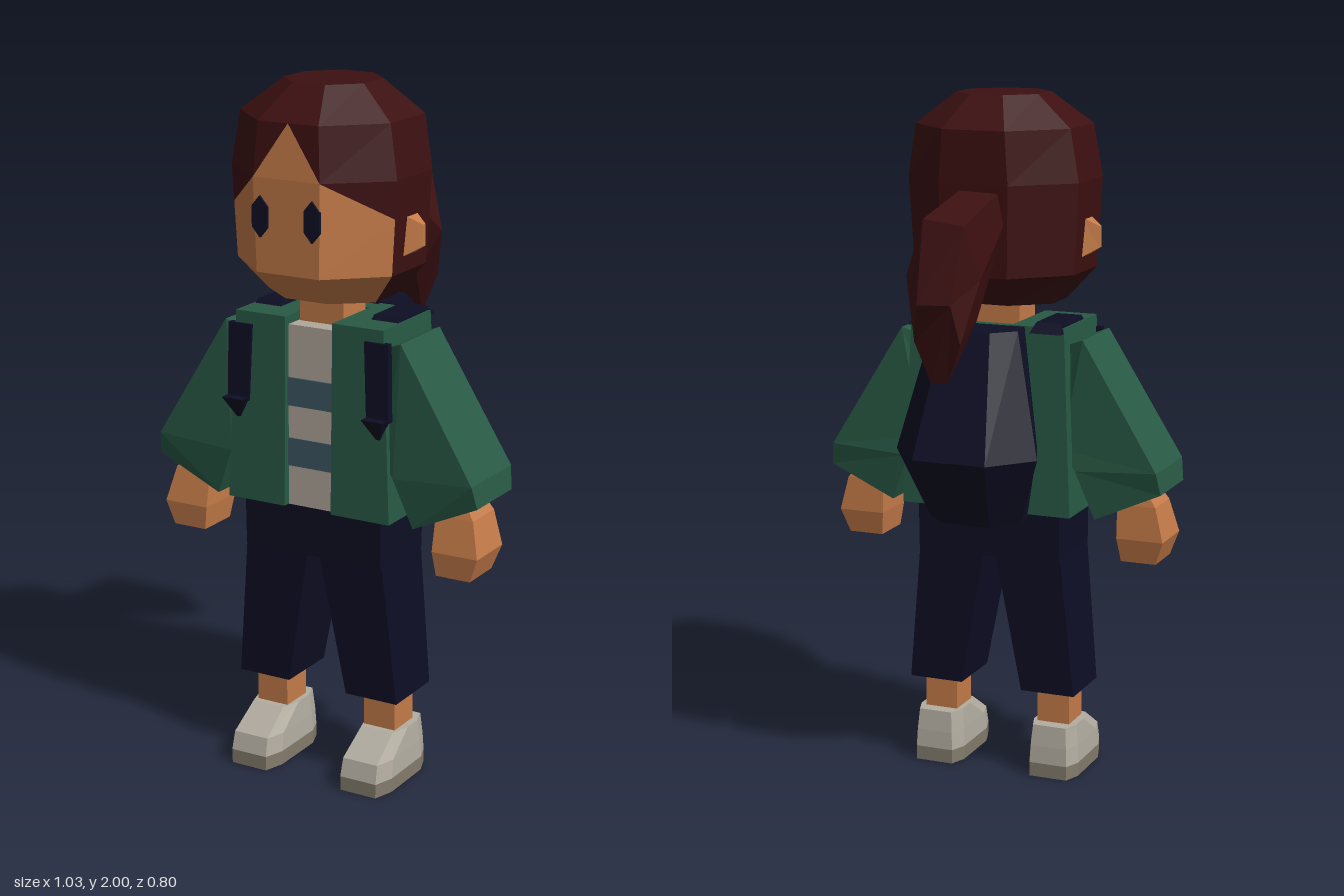
import * as THREE from 'three';

const mat = (name, color) => {
  const m = new THREE.MeshStandardMaterial({ color, flatShading: true });
  m.name = name;
  return m;
};

// Flat-shaded polygons, each turned to face away from a centre point
function facets(name, material, polys, centre) {
  const c = new THREE.Vector3();
  if (centre) c.set(...centre);
  else {
    const all = polys.flat();
    all.forEach(p => c.add(new THREE.Vector3(...p)));
    c.divideScalar(all.length);
  }
  const pos = [];
  for (const poly of polys) {
    const v = poly.map(p => new THREE.Vector3(...p));
    for (let i = 1; i < v.length - 1; i++) {
      const a = v[0], b = v[i], d = v[i + 1];
      const n = b.clone().sub(a).cross(d.clone().sub(a));
      const tri = n.dot(a.clone().sub(c)) >= 0 ? [a, b, d] : [a, d, b];
      tri.forEach(p => pos.push(p.x, p.y, p.z));
    }
  }
  const g = new THREE.BufferGeometry();
  g.setAttribute('position', new THREE.Float32BufferAttribute(pos, 3));
  g.computeVertexNormals();
  const mesh = new THREE.Mesh(g, material);
  mesh.name = name;
  return mesh;
}

// Closed solid through cross-sections with equal point counts
function loft(name, material, rings) {
  const polys = [rings[0], rings[rings.length - 1]];
  for (let r = 0; r < rings.length - 1; r++) {
    const a = rings[r], b = rings[r + 1], n = a.length;
    for (let i = 0; i < n; i++) polys.push([a[i], a[(i + 1) % n], b[(i + 1) % n], b[i]]);
  }
  return facets(name, material, polys);
}

// Horizontal rectangle
const rect = (y, x0, x1, z0, z1) => [[x0, y, z0], [x1, y, z0], [x1, y, z1], [x0, y, z1]];
const flip = (rings, s) => rings.map(r => r.map(([x, y, z]) => [x * s, y, z]));

export function createModel() {
  const skin = mat('skin', 0xc67c49), hair = mat('hair', 0x3d1011), green = mat('jacket green', 0x285a45);
  const navy = mat('navy', 0x0e0e25), shirt = mat('shirt grey', 0xb0a89c), blue = mat('stripe blue', 0x3c5664);
  const shoe = mat('shoe grey', 0xb3ada1), sole = mat('sole grey', 0x857d6d);

  const model = new THREE.Group();
  model.name = 'child';
  const add = m => model.add(m);

  // Head: octagonal rings, split into hair and face along the fringe
  const ring = (y, w, zf, zb) => {
    const c = (zf + zb) / 2, h = (zf - zb) / 2;
    const half = [[0.4, 1], [1, 0.42], [1, -0.4], [0.4, -1]].map(([x, z]) => [x * w, y, c + z * h]);
    return [...half, ...half.slice().reverse().map(([x, yy, z]) => [-x, yy, z])];
  };
  const R = [ring(1.41, 0.17, 0.29, 0.01), ring(1.5, 0.245, 0.385, -0.075), ring(1.76, 0.26, 0.39, -0.085),
    ring(1.91, 0.235, 0.378, -0.085), ring(2, 0.125, 0.27, 0.01)];
  const face = [R[0]], cap = [R[4]];
  for (let r = 0; r < 4; r++) {
    for (let i = 0; i < 8; i++) {
      const j = (i + 1) % 8, a = R[r][i], b = R[r][j], c = R[r + 1][j], d = R[r + 1][i];
      const front = i === 7, diagonal = i === 0 || i === 6;
      if (r === 0 && (front || diagonal) || r === 1 && front) face.push([a, b, c, d]);
      else if (r === 1 && diagonal) {
        const [lo, hi, inLo, inHi] = i === 0 ? [b, c, a, d] : [a, d, b, c];
        const m = lo.map((v, k) => v + (hi[k] - v) * 0.6);
        face.push([inLo, lo, m, inHi]);
        cap.push([inHi, m, hi]);
      } else if (r === 2 && front) {
        const peak = [0, 1.91, 0.378];
        face.push([a, b, peak]);
        cap.push([a, peak, d], [b, c, peak]);
      } else cap.push([a, b, c, d]);
    }
  }
  add(facets('face', skin, face, [0, 1.7, 0.15]));
  add(facets('hair', hair, cap, [0, 1.7, 0.15]));

  // Ponytail
  add(loft('ponytail', hair, [
    [[-0.08, 1.74, -0.1], [0.03, 1.745, -0.11], [0.09, 1.67, -0.08], [0.04, 1.56, -0.06], [-0.06, 1.56, -0.06], [-0.09, 1.65, -0.08]],
    [[-0.085, 1.68, -0.345], [0.035, 1.695, -0.345], [0.135, 1.52, -0.235], [0.07, 1.4, -0.2], [-0.06, 1.4, -0.2], [-0.11, 1.53, -0.29]],
    [[-0.06, 1.47, -0.38], [0.03, 1.47, -0.4], [0.06, 1.36, -0.35], [0.02, 1.245, -0.33], [-0.03, 1.245, -0.33], [-0.08, 1.36, -0.36]],
  ]));

  // Neck, shirt and back of the jacket
  add(loft('neck', skin, [rect(1.3, -0.07, 0.07, 0.09, 0.21), rect(1.43, -0.07, 0.07, 0.09, 0.21)]));
  add(loft('shirt', shirt, [rect(0.81, -0.09, 0.09, 0.04, 0.27), rect(1.33, -0.09, 0.09, 0.04, 0.262)]));
  for (const y of [0.925, 1.1])
    add(loft('shirtStripe', blue, [rect(y, -0.08, 0.08, 0.265, 0.273), rect(y + 0.08, -0.08, 0.08, 0.265, 0.271)]));
  add(loft('jacketBack', green, [rect(0.81, -0.1, 0.1, 0, 0.06), rect(1.35, -0.1, 0.1, 0.012, 0.06)]));
  add(loft('hips', navy, [rect(0.665, -0.22, 0.22, 0.03, 0.265), rect(0.83, -0.22, 0.22, 0.025, 0.268)]));

  // Backpack
  const pack = (y, w, z) => [[w[0], y, z[0]], [w[1], y, z[1]], [w[2], y, z[2]],
    [-w[2], y, z[2]], [-w[1], y, z[1]], [-w[0], y, z[0]]];
  add(loft('backpack', navy, [
    pack(0.797, [0.13, 0.14, 0.07], [0.005, -0.07, -0.135]),
    pack(1.005, [0.16, 0.215, 0.11], [0.005, -0.135, -0.262]),
    pack(1.355, [0.12, 0.13, 0.07], [0.005, -0.07, -0.13]),
  ]));

  for (const s of [1, -1]) {
    const side = s > 0 ? 'left' : 'right';
    const part = (name, m, rings) => add(loft(side + name, m, flip(rings, s)));

    // Ear: wedge with a vertical outer edge
    part('Ear', skin, [
      [[0.24, 1.54, 0.115], [0.24, 1.54, 0.2], [0.24, 1.66, 0.195], [0.24, 1.66, 0.12]],
      [[0.29, 1.57, 0.15], [0.29, 1.57, 0.162], [0.29, 1.63, 0.162], [0.29, 1.63, 0.15]],
    ]);

    // Eye: thin hexagon
    const eye = new THREE.Mesh(new THREE.CylinderGeometry(1, 1, 1, 6), navy);
    eye.name = side + 'Eye';
    eye.rotation.x = Math.PI / 2;
    eye.scale.set(0.028, 0.009, 0.057);
    eye.position.set(0.081 * s, 1.655, 0.391);
    add(eye);

    // Jacket side panel
    part('JacketPanel', green, [rect(0.81, 0.075, 0.26, 0.003, 0.292), rect(1.355, 0.075, 0.235, 0.015, 0.28)]);

    // Sleeve: shoulder, elbow and cuff sections
    const sleeve = (xo, yo, xi, yi, z0, z1) => [[xo, yo, z0], [xo, yo, z1], [xi, yi, z1], [xi, yi, z0]];
    part('Sleeve', green, [
      sleeve(0.2, 1.29, 0.18, 1.06, 0.07, 0.24),
      sleeve(0.28, 1.32, 0.22, 1.0, 0.045, 0.265),
      sleeve(0.505, 0.955, 0.262, 0.94, 0.04, 0.275),
      sleeve(0.515, 0.89, 0.317, 0.8, 0.055, 0.26),
    ]);

    // Hand
    part('Hand', skin, [rect(0.67, 0.38, 0.485, 0.11, 0.24), rect(0.74, 0.37, 0.51, 0.095, 0.247),
      rect(0.84, 0.37, 0.485, 0.1, 0.225), rect(0.89, 0.38, 0.45, 0.11, 0.21)]);

    // Straps: front band with a pointed loose end, and a shoulder band
    part('Strap', navy, [rect(1.1, 0.19, 0.258, 0.27, 0.295), rect(1.32, 0.18, 0.255, 0.27, 0.289)]);
    part('StrapEnd', navy, [rect(1.05, 0.22, 0.23, 0.28, 0.292), rect(1.11, 0.19, 0.258, 0.28, 0.325)]);
    part('ShoulderStrap', navy, [rect(1.34, 0.14, 0.235, -0.01, 0.2), rect(1.368, 0.15, 0.225, 0.02, 0.18)]);

    // Trouser leg and ankle
    part('Leg', navy, [rect(0.26, 0.095, 0.26, 0.05, 0.245), rect(0.68, 0.018, 0.22, 0.035, 0.262)]);
    part('Ankle', skin, [rect(0.14, 0.13, 0.23, 0.095, 0.2), rect(0.3, 0.13, 0.23, 0.095, 0.2)]);

    // Shoe and sole: eight-sided rings with narrow heel and toe
    const foot = (y, w, zh, zt) => {
      const half = [[0.75, zh], [1, zh + 0.05], [1, zt - 0.06], [0.75, zt]];
      return [...half.map(([k, z]) => [0.183 + k * w, y, z]),
        ...half.reverse().map(([k, z]) => [0.183 - k * w, y, z])];
    };
    part('Sole', sole, [foot(0, 0.076, 0.045, 0.328), foot(0.042, 0.077, 0.045, 0.328)]);
    part('Shoe', shoe, [foot(0.042, 0.077, 0.045, 0.328), foot(0.095, 0.074, 0.048, 0.315), foot(0.157, 0.068, 0.055, 0.22)]);
  }
  return model;
}
